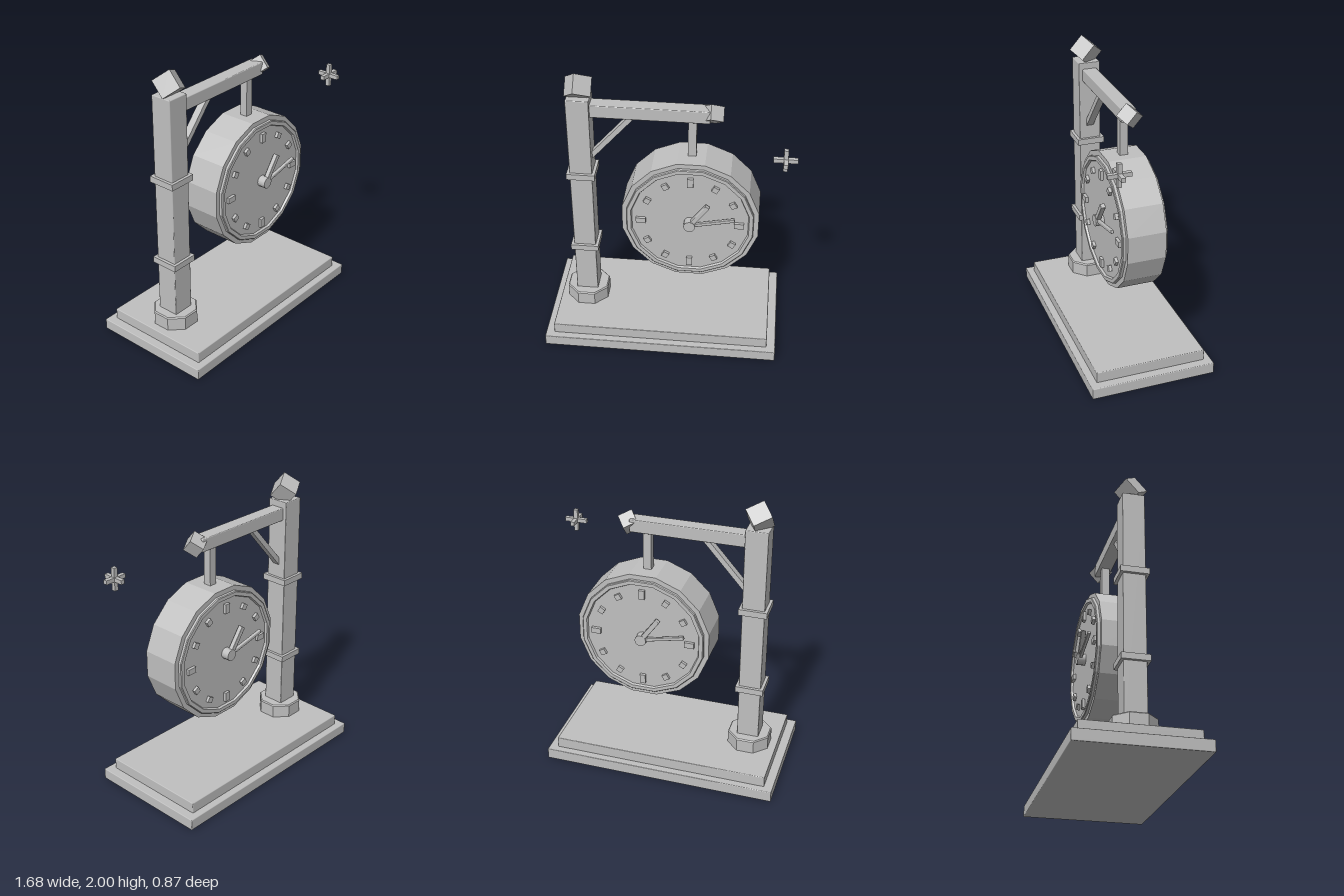
import * as THREE from 'three';
import { RoundedBoxGeometry } from 'three/addons/geometries/RoundedBoxGeometry.js';

export function createModel() {
  const model = new THREE.Group();
  model.name = 'hangingClock';
  const grey = new THREE.MeshStandardMaterial({ color: 0xc0c0c0 });
  grey.name = 'plain grey';

  function add(parent, name, geometry, x = 0, y = 0, z = 0) {
    const mesh = new THREE.Mesh(geometry, grey);
    mesh.name = name;
    mesh.position.set(x, y, z);
    parent.add(mesh);
    return mesh;
  }
  const box = (w, h, d) => new THREE.BoxGeometry(w, h, d);
  const bevelBox = (w, h, d, r = 0.006) => new RoundedBoxGeometry(w, h, d, 1, r);

  // Faceted lathe with flat sides facing the axes; profile radii are measured to the flats
  function facetedLathe(profile, sides) {
    const k = 1 / Math.cos(Math.PI / sides);
    const points = profile.map(([r, y]) => new THREE.Vector2(r * k, y));
    const geometry = new THREE.LatheGeometry(points, sides, Math.PI / sides).toNonIndexed();
    geometry.computeVertexNormals();
    return geometry;
  }

  // Stepped base
  add(model, 'lowerPlinth', bevelBox(1.635, 0.08, 0.866), -0.027, 0.04);
  add(model, 'upperPlinth', bevelBox(1.513, 0.08, 0.768), -0.028, 0.117);

  // Post with octagonal foot and two collars
  const postX = -0.587;
  add(model, 'postFoot', facetedLathe(
    [[0, 0.15], [0.144, 0.15], [0.144, 0.248], [0.137, 0.256], [0, 0.256]], 8), postX);
  add(model, 'post', bevelBox(0.153, 1.63, 0.153), postX, 1.015);
  for (const y of [0.638, 1.246]) add(model, 'postCollar', box(0.193, 0.043, 0.193), postX, y);

  // Arm, diagonal brace and hanger
  add(model, 'arm', bevelBox(0.83, 0.09, 0.1), -0.145, 1.741);
  add(model, 'brace', box(0.47, 0.035, 0.05), -0.38, 1.539).rotation.z = 0.855;
  add(model, 'hanger', box(0.055, 0.3, 0.055), 0.155, 1.56);

  // Tilted cube finials on the post and the arm tip
  for (const [name, size, x, y] of [['postFinial', 0.13, postX, 1.895], ['armFinial', 0.1, 0.286, 1.745]]) {
    add(model, name, box(size, size, size), x, y).rotation.set(-0.72, 0.61, 0);
  }

  // Clock drum with a raised rim around each recessed face
  const clock = new THREE.Group();
  clock.name = 'clock';
  clock.position.set(0.156, 0.966, 0);
  model.add(clock);
  const half = [[0.463, 0.132], [0.43, 0.132], [0.43, 0.15], [0.425, 0.155],
    [0.4, 0.155], [0.393, 0.14], [0, 0.14]];
  const profile = [...half.map(([r, y]) => [r, -y]).reverse(), ...half];
  add(clock, 'drum', facetedLathe(profile, 16).rotateX(Math.PI / 2));

  // A dial on each side: markers, hub and two hands
  for (const [name, turn] of [['frontDial', 0], ['backDial', Math.PI]]) {
    const dial = new THREE.Group();
    dial.name = name;
    dial.rotation.y = turn;
    clock.add(dial);

    for (let i = 0; i < 12; i++) {
      const a = i * Math.PI / 6;
      const length = i % 3 === 0 ? 0.066 : 0.04;
      add(dial, 'hourMarker', box(0.04, length, 0.025),
        0.333 * Math.sin(a), 0.333 * Math.cos(a), 0.148).rotation.z = -a;
    }
    add(dial, 'hub', new THREE.CylinderGeometry(0.04, 0.04, 0.06, 12).rotateX(Math.PI / 2), 0, 0, 0.168);

    for (const [hand, length, width, depth, angle] of [
      ['hourHand', 0.205, 0.034, 0.034, 0.95], ['minuteHand', 0.31, 0.025, 0.022, 0.215]]) {
      const geometry = bevelBox(length, width, depth, 0.005).translate(length / 2, 0, 0);
      add(dial, hand, geometry, 0, 0, 0.178).rotation.z = angle;
    }
  }

  // Floating sparkle of three crossed bars
  const sparkle = new THREE.Group();
  sparkle.name = 'sparkle';
  sparkle.position.set(0.762, 1.587, 0.243);
  model.add(sparkle);
  const long = 0.156, thin = 0.028;
  for (const size of [[long, thin, thin], [thin, long, thin], [thin, thin, long]]) {
    add(sparkle, 'sparkleBar', box(...size));
  }

  return model;
}
